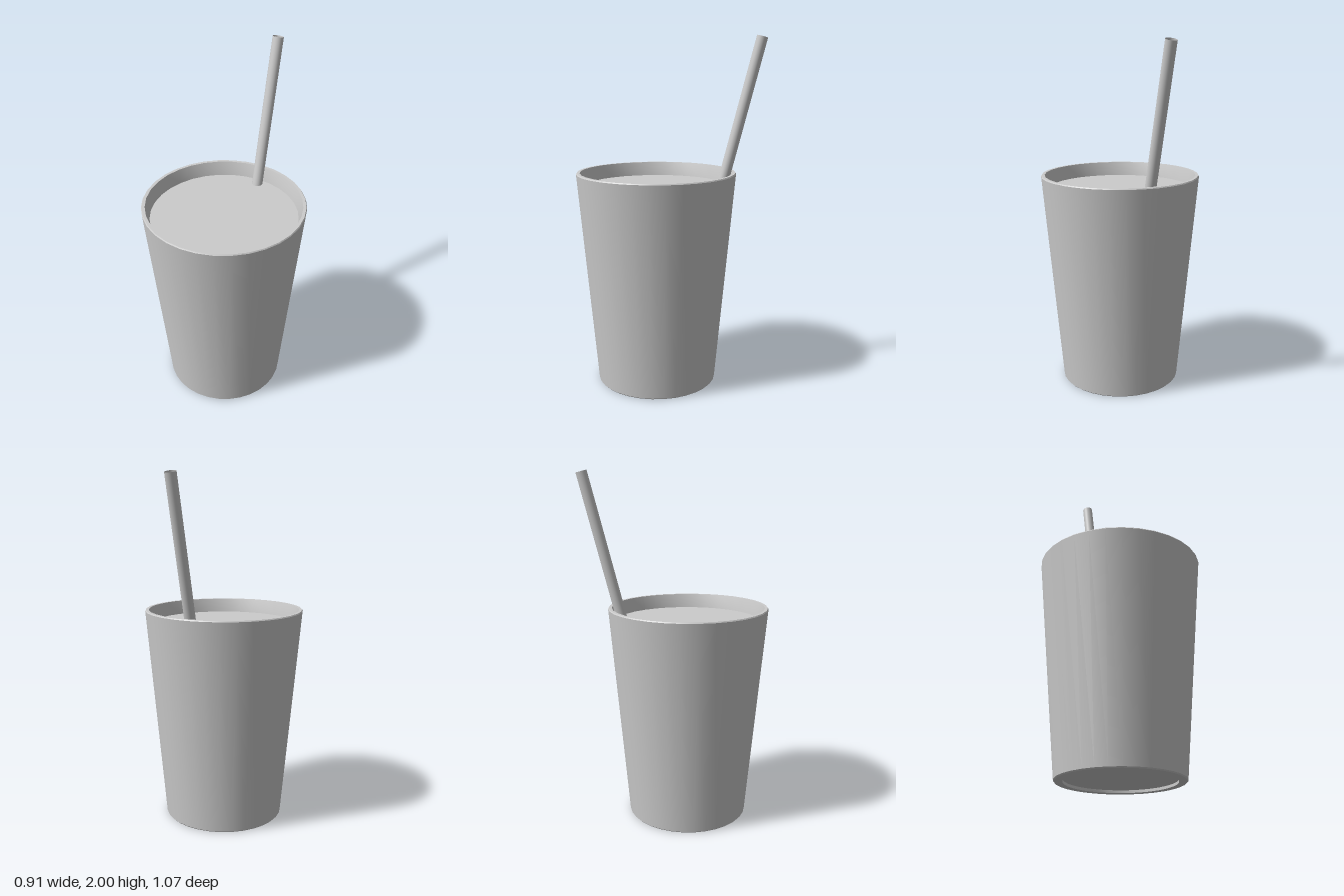
import * as THREE from 'three';
import { toCreasedNormals } from 'three/addons/utils/BufferGeometryUtils.js';

const SIDES = 32;
const CUP_Z = 0.08;

export function createModel() {
  const model = new THREE.Group();
  const grey = new THREE.MeshStandardMaterial({ color: 0xcccccc });
  const greyThin = new THREE.MeshStandardMaterial({ color: 0xcccccc, side: THREE.DoubleSide });

  const add = (name, geometry, material) => {
    const mesh = new THREE.Mesh(geometry, material);
    mesh.name = name;
    model.add(mesh);
    return mesh;
  };

  // Tapered cup wall: recessed base, outer side, rim, inner side, inner floor
  const profile = [
    [0, 0.015], [0.298, 0.015], [0.298, 0], [0.34, 0], [0.346, 0.006],
    [0.457, 1.234], [0.453, 1.24], [0.436, 1.24], [0.415, 1.16],
    [0.32, 0.04], [0, 0.04],
  ].map(([r, y]) => new THREE.Vector2(r, y));
  const cup = add('cup', toCreasedNormals(new THREE.LatheGeometry(profile, SIDES), 0.5), grey);
  cup.position.z = CUP_Z;

  // Drink surface just below the rim
  const drink = add('drink', new THREE.CircleGeometry(0.415, SIDES), grey);
  drink.rotation.x = -Math.PI / 2;
  drink.position.set(0, 1.16, CUP_Z);

  // Open straw leaning against the back of the rim
  const bottom = new THREE.Vector3(0.015, 0.08, -0.022);
  const top = new THREE.Vector3(0.015, 1.992, -0.506);
  const axis = top.clone().sub(bottom);
  const straw = add('straw', new THREE.CylinderGeometry(0.031, 0.031, axis.length(), SIDES, 1, true), greyThin);
  straw.position.copy(bottom).add(top).multiplyScalar(0.5);
  straw.quaternion.setFromUnitVectors(new THREE.Vector3(0, 1, 0), axis.normalize());

  return model;
}
